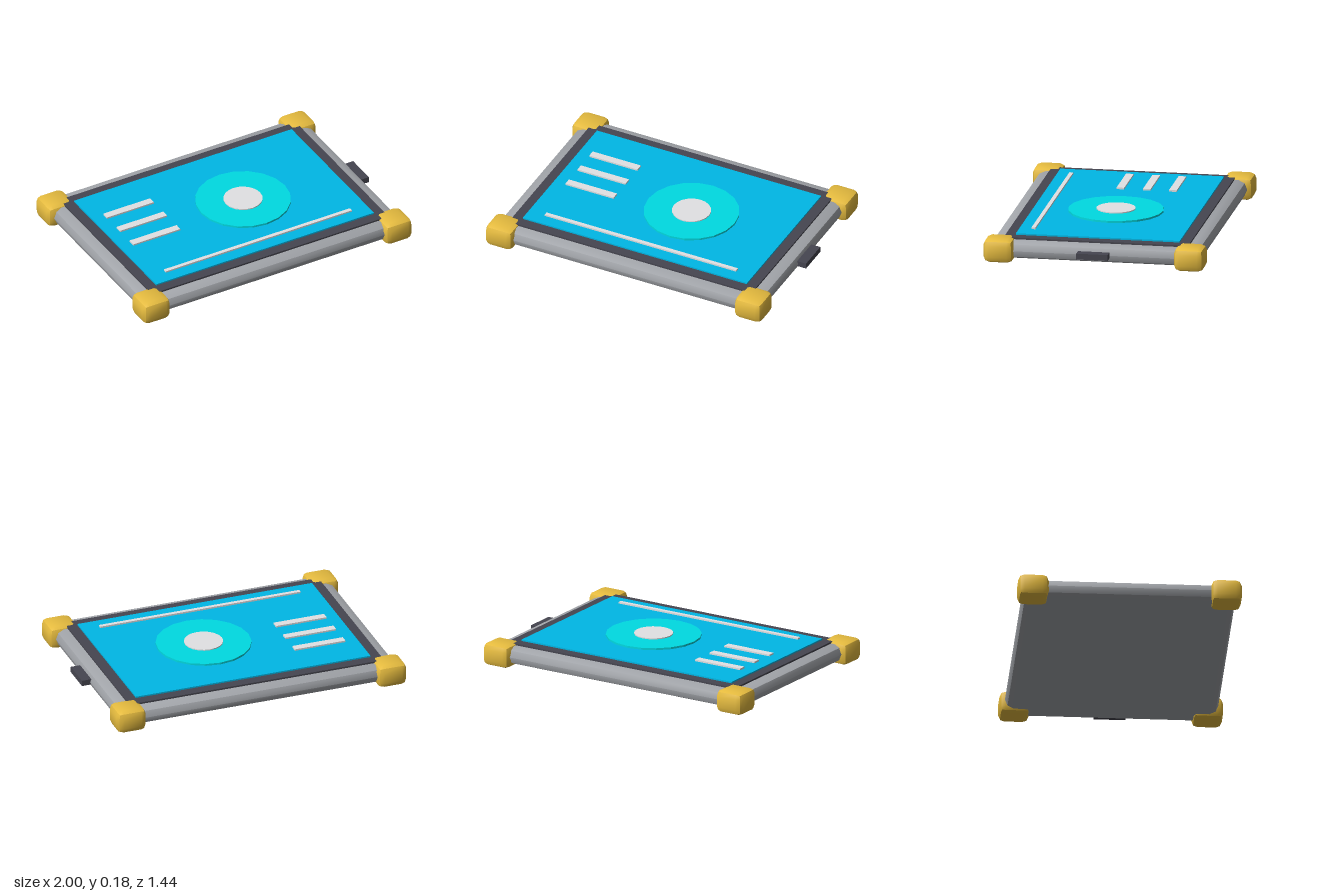
import * as THREE from 'three';
import { RoundedBoxGeometry } from 'three/addons/geometries/RoundedBoxGeometry.js';
import { toCreasedNormals } from 'three/addons/utils/BufferGeometryUtils.js';

const mat = (name, color, flatShading = false) => {
  const m = new THREE.MeshStandardMaterial({ color, flatShading });
  m.name = name;
  return m;
};

// box with two-facet bevels: the ridge stays crisp, the faces shade softly
const bevelBox = (w, h, d, r) =>
  toCreasedNormals(new RoundedBoxGeometry(w, h, d, 1, r), 0.6);

export function createModel() {
  const model = new THREE.Group();
  model.name = 'tablet';

  const dark = mat('charcoal', 0x464650);
  const grey = mat('body grey', 0xa3a6ab);
  const gold = mat('gold', 0xeabf40);
  const blue = mat('screen blue', 0x00b8e6);
  const teal = mat('dial teal', 0x00dae2, true);
  const silver = mat('silver', 0xe2e2e4);

  const CX = -0.01; // the side button shifts the body off centre

  const add = (name, geometry, material, x, y, z) => {
    const mesh = new THREE.Mesh(geometry, material);
    mesh.name = name;
    mesh.position.set(x, y, z);
    model.add(mesh);
  };
  // box given by its centre in x and z, and its bottom and top
  const slab = (name, material, w, d, x, z, y0, y1) =>
    add(name, new THREE.BoxGeometry(w, y1 - y0, d), material, x, (y0 + y1) / 2, z);

  // body with fully bevelled sides, raised bezel and screen
  add('body', bevelBox(1.908, 0.115, 1.37, 0.0575), grey, CX, 0.0785, 0);
  slab('bezel', dark, 1.74, 1.2, CX, 0, 0.12, 0.147);
  slab('screen', blue, 1.604, 1.066, CX, 0, 0.14, 0.157);

  // corner bumpers
  for (const sx of [-1, 1]) {
    for (const sz of [-1, 1]) {
      add('cornerBumper', bevelBox(0.198, 0.152, 0.196, 0.04), gold,
        CX + sx * 0.891, 0.076, sz * 0.62);
    }
  }

  // round dial on the screen
  const disc = (name, material, r, y0, y1) =>
    add(name, new THREE.CylinderGeometry(r, r, y1 - y0, 20), material, 0.13, (y0 + y1) / 2, 0);
  disc('dial', teal, 0.308, 0.15, 0.17);
  disc('dialCentre', silver, 0.126, 0.16, 0.177);

  // raised bars on the screen
  for (const z of [-0.277, -0.107, 0.065]) {
    slab('shortBar', silver, 0.345, 0.05, -0.555, z, 0.15, 0.168);
  }
  slab('longBar', silver, 1.37, 0.026, -0.01, 0.44, 0.15, 0.168);

  // side button
  slab('sideButton', dark, 0.08, 0.205, 0.96, 0, 0.06, 0.098);

  return model;
}
